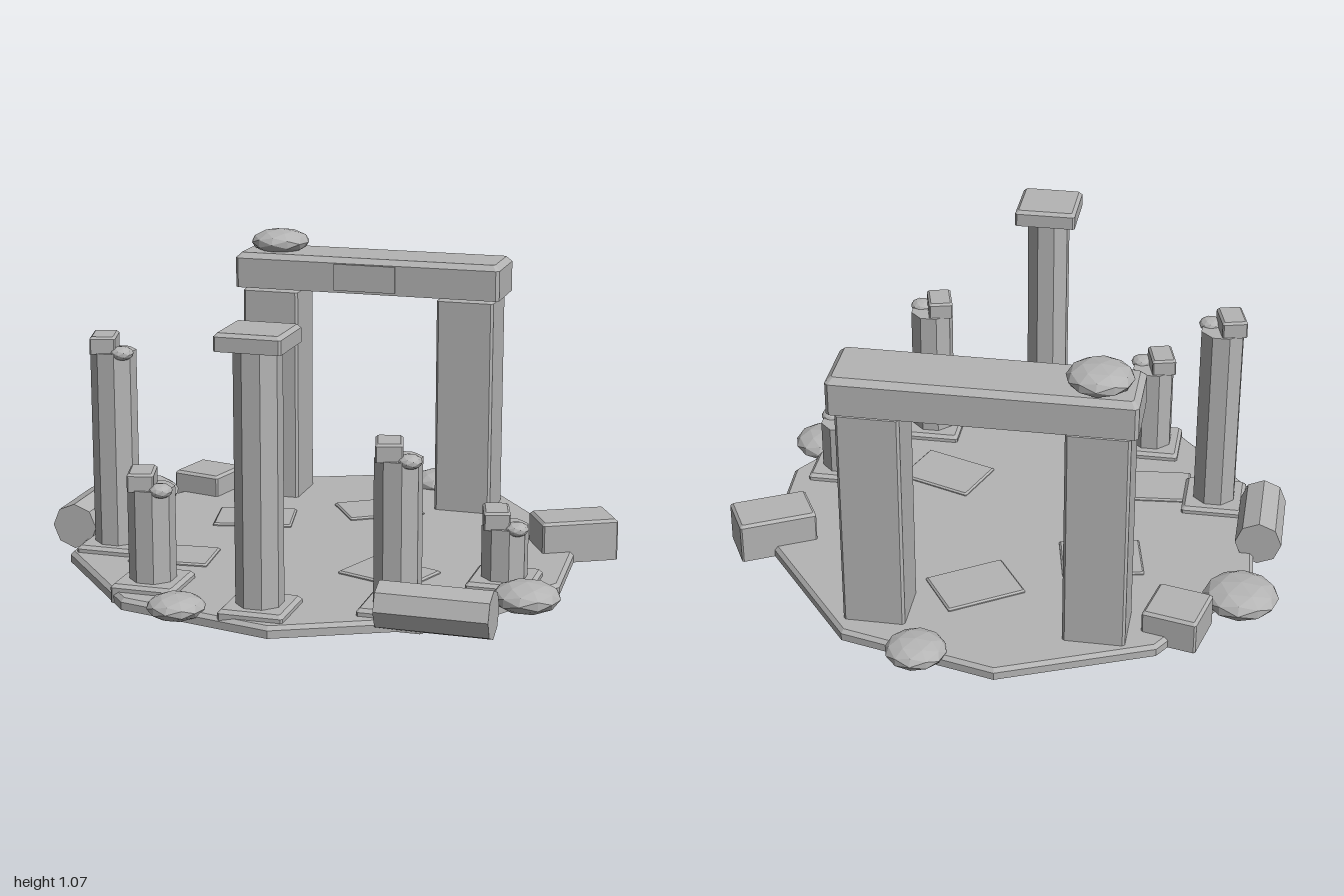
import * as THREE from 'three';

const stone = new THREE.MeshStandardMaterial({ color: 0xb4b4b4, flatShading: true, side: THREE.DoubleSide });
stone.name = 'grey stone';

// Stack of polygon rings, capped on top and open underneath. Rings run from bottom to top.
function loft(rings) {
  const pos = [];
  const n = rings[0].length;
  for (let r = 0; r < rings.length - 1; r++) {
    for (let i = 0; i < n; i++) {
      const j = (i + 1) % n;
      const a = rings[r][i], b = rings[r][j], c = rings[r + 1][j], d = rings[r + 1][i];
      pos.push(...a, ...c, ...b, ...a, ...d, ...c);
    }
  }
  const top = rings[rings.length - 1];
  for (let i = 1; i < n - 1; i++) pos.push(...top[0], ...top[i + 1], ...top[i]);
  const geo = new THREE.BufferGeometry();
  geo.setAttribute('position', new THREE.Float32BufferAttribute(pos, 3));
  geo.computeVertexNormals();
  return geo;
}

// Rectangle with cut corners, clockwise on the ground plan
function cutRect(w, d, cut, y) {
  const x = w / 2, z = d / 2, c = cut;
  return [[x - c, y, -z], [x, y, -z + c], [x, y, z - c], [x - c, y, z],
    [-x + c, y, z], [-x, y, z - c], [-x, y, -z + c], [-x + c, y, -z]];
}

// Block standing on y = 0 with cut upright corners and a bevelled top
function blockGeometry(w, h, d, bevel, cut = bevel * 0.6) {
  return loft([
    cutRect(w, d, cut, 0),
    cutRect(w, d, cut, h - bevel),
    cutRect(w - 2 * bevel, d - 2 * bevel, cut * 0.6, h),
  ]);
}

export function createModel() {
  const group = new THREE.Group();

  function add(name, geo, x, y, z, turn = 0) {
    const mesh = new THREE.Mesh(geo, stone);
    mesh.name = name;
    mesh.position.set(x, y, z);
    mesh.rotation.y = THREE.MathUtils.degToRad(turn);
    group.add(mesh);
    return mesh;
  }

  // Uneven ten-sided floor
  const outline = [[-0.09, -0.9], [0.46, -0.765], [0.85, -0.26], [0.875, 0.23], [0.61, 0.66],
    [0.055, 0.925], [-0.5, 0.8], [-0.865, 0.375], [-0.905, -0.2], [-0.61, -0.68]];
  const ring = (y, s) => outline.map(([x, z]) => [x * s, y, z * s]);
  add('floor', loft([ring(0, 1), ring(0.027, 1), ring(0.04, 0.985)]), 0, 0, 0);

  // Loose paving slabs: x, z, width, depth, turn
  for (const [x, z, w, d, turn] of [
    [-0.36, -0.19, 0.29, 0.215, 11.5], [-0.49, 0.32, 0.285, 0.2, 5],
    [0.29, 0.29, 0.285, 0.215, -20], [0.055, -0.43, 0.29, 0.215, 33],
  ]) add('pavingSlab', blockGeometry(w, 0.025, d, 0.006), x, 0.025, z, turn);

  // Gateway: two piers, lintel and plaque
  for (const x of [-0.397, 0.36]) add('pier', blockGeometry(0.215, 0.825, 0.205, 0.015), x, 0.035, -0.595);
  add('lintel', blockGeometry(1.02, 0.132, 0.245, 0.02), -0.018, 0.86, -0.593);
  add('plaque', new THREE.BoxGeometry(0.235, 0.1, 0.04), -0.018, 0.92, -0.481);

  // Eight-sided columns on square plinths
  const squashed = (r, k) => new THREE.IcosahedronGeometry(r, 1).scale(1, k, 1);
  function column(x, z, top) {
    add('plinth', blockGeometry(0.225, 0.065, 0.225, 0.012), x, 0, z);
    add('columnShaft', loft([0, top - 0.06].map((y) => cutRect(0.149, 0.149, 0.0436, y))), x, 0.06, z);
  }
  column(-0.02, 0.77, 0.93);
  add('columnCap', blockGeometry(0.225, 0.06, 0.225, 0.012), -0.02, 0.925, 0.77);

  // Broken columns topped by a leaning fragment and rubble
  for (const [x, z, top] of [[-0.725, 0.27, 0.82], [-0.45, 0.63, 0.445], [0.41, 0.63, 0.615], [0.69, 0.27, 0.305]]) {
    column(x, z, top - 0.058);
    add('brokenFragment', blockGeometry(0.09, 0.062, 0.13, 0.008), x - 0.03, top - 0.062, z + 0.005, 15);
    add('rubble', squashed(0.042, 0.6), x + 0.047, top - 0.06, z + 0.037);
  }

  // Fallen blocks
  add('fallenBlock', blockGeometry(0.28, 0.15, 0.175, 0.01), 0.837, 0, -0.22, 28);
  add('fallenBlock', blockGeometry(0.195, 0.12, 0.195, 0.01), -0.665, 0, -0.53, -13);

  // Fallen column drums, lying on their sides
  const drum = (length) => new THREE.CylinderGeometry(0.083, 0.083, length, 8).rotateX(Math.PI / 2);
  add('fallenDrum', drum(0.3), -0.91, 0.085, 0.08);
  add('fallenDrum', drum(0.38), 0.565, 0.085, 0.73, 90);

  // Boulders: x, y, z, radius, flattening
  for (const [x, y, z, r, k] of [
    [0.185, 0.05, -0.84, 0.106, 0.43], [-0.39, 1.022, -0.605, 0.112, 0.42], [-0.87, 0.057, -0.36, 0.133, 0.42],
    [0.8, 0.053, 0.43, 0.117, 0.44], [-0.29, 0.046, 0.835, 0.1, 0.43],
  ]) add('boulder', squashed(r, k), x, y, z);

  return group;
}
